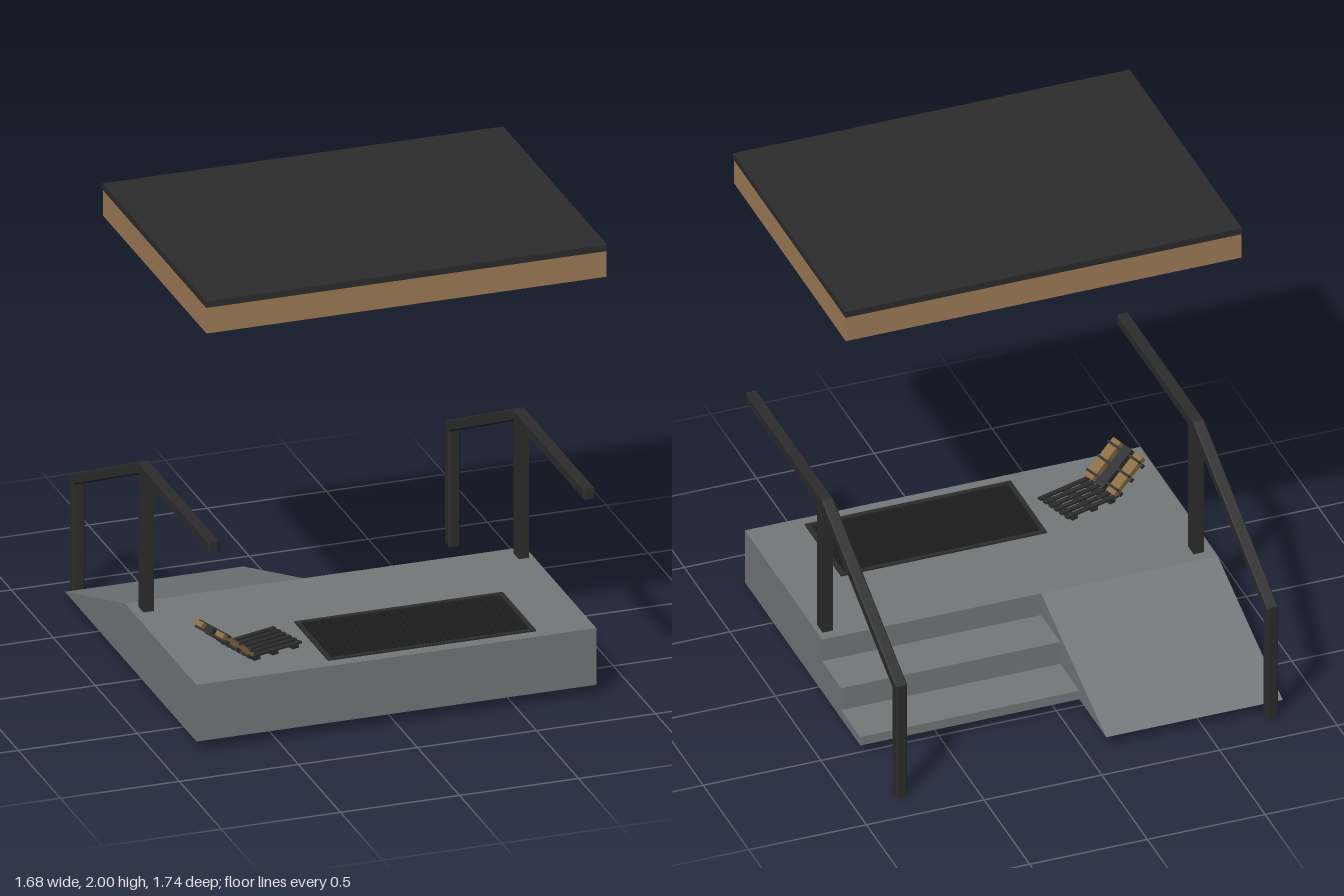
import * as THREE from 'three';

const mat = (color) => new THREE.MeshStandardMaterial({ color });
const concrete = mat(0x74787a), black = mat(0x2c2c2c), wood = mat(0xa07c58);
const slatWood = mat(0x8a6a40), rubber = mat(0x1c1c1c), lens = mat(0x707478);

function add(parent, name, geometry, material, x = 0, y = 0, z = 0) {
  const mesh = new THREE.Mesh(geometry, material);
  mesh.name = name;
  mesh.position.set(x, y, z);
  parent.add(mesh);
  return mesh;
}

// Box given by its extents on each axis
function block(parent, name, material, [x0, x1], [y0, y1], [z0, z1]) {
  return add(parent, name, new THREE.BoxGeometry(x1 - x0, y1 - y0, z1 - z0), material,
    (x0 + x1) / 2, (y0 + y1) / 2, (z0 + z1) / 2);
}

// Side profile of [distance towards the back, height] points, extruded from x0 to x1
function profile(parent, name, material, points, x0, x1, bevel = 0) {
  const shape = new THREE.Shape(points.map(([u, v]) => new THREE.Vector2(u, v)));
  const geometry = new THREE.ExtrudeGeometry(shape, {
    depth: x1 - x0 - 2 * bevel, bevelEnabled: bevel > 0, bevelSize: bevel,
    bevelThickness: bevel, bevelOffset: -bevel, bevelSegments: 1,
  });
  geometry.rotateY(Math.PI / 2);
  return add(parent, name, geometry, material, x0 + bevel, 0, 0);
}

function createRoof() {
  const roof = new THREE.Group();
  roof.name = 'roof';
  block(roof, 'roofBody', wood, [-0.84, 0.84], [1.86, 1.972], [-0.36, 0.87]);
  block(roof, 'roofCovering', black, [-0.842, 0.842], [1.972, 2], [-0.362, 0.872]);
  // Ceiling lamps: stepped housing with a recessed lens
  for (const x of [-0.525, 0.535]) {
    const housing = [[0.045, 0.012], [0.045, 0], [0.054, 0], [0.054, 0.012], [0.064, 0.016], [0.064, 0.05]]
      .map(([r, y]) => new THREE.Vector2(r, y));
    const shell = add(roof, 'lampHousing', new THREE.LatheGeometry(housing, 24),
      new THREE.MeshStandardMaterial({ color: 0x2c2c2c, side: THREE.DoubleSide, flatShading: true }), x, 1.812, 0.49);
    add(shell, 'lampLens', new THREE.CylinderGeometry(0.046, 0.046, 0.01, 24), lens, 0, 0.012, 0);
  }
  return roof;
}

function createBase() {
  const base = new THREE.Group();
  base.name = 'base';
  block(base, 'platform', concrete, [-0.84, 0.84], [0.045, 0.29], [-0.1, 0.75]);
  profile(base, 'ramp', concrete, [[0.1, 0.045], [0.815, 0.045], [0.1, 0.29]], -0.84, -0.09);
  profile(base, 'steps', concrete, [[0.1, 0.045], [0.52, 0.045], [0.52, 0.085], [0.31, 0.085],
    [0.31, 0.188], [0.1, 0.188]], -0.09, 0.84);
  return base;
}

// Handrail: level bar, sloping bar and end post in one piece, plus an upper post
function createHandrail(name, x, foot) {
  const rail = new THREE.Group();
  rail.name = name;
  const outline = [[-0.785, 0.868], [0.045, 0.868], [0.82, 0.5], [0.82, foot],
    [0.867, foot], [0.867, 0.528], [0.055, 0.916], [-0.785, 0.916]];
  profile(rail, 'railBar', black, outline, x - 0.024, x + 0.024, 0.005);
  block(rail, 'upperPost', black, [x - 0.022, x + 0.022], [0.285, 0.88], [-0.053, 0.007]);
  return rail;
}

function createDoormat() {
  const doormat = new THREE.Group();
  doormat.name = 'doormat';
  block(doormat, 'matBacking', rubber, [-0.25, 0.585], [0.288, 0.2915], [0.32, 0.68]);
  for (const z of [0.3, 0.68]) block(doormat, 'matLongBorder', black, [-0.27, 0.605], [0.288, 0.296], [z, z + 0.02]);
  for (const x of [-0.27, 0.585]) block(doormat, 'matShortBorder', black, [x, x + 0.02], [0.288, 0.296], [0.32, 0.68]);
  const ribs = 30;
  for (let i = 0; i < ribs; i++) {
    const x = -0.245 + (i * 0.825) / ribs;
    block(doormat, 'matRib', rubber, [x, x + 0.014], [0.29, 0.295], [0.325, 0.675]);
  }
  return doormat;
}

// Toppled bench: slatted panel on the ground and a raised plank panel hinged to it
function createToppledBench() {
  const bench = new THREE.Group();
  bench.name = 'toppledBench';
  bench.position.set(-0.47, 0.29, 0.475);
  bench.rotation.y = 0.3;

  const flat = new THREE.Group();
  flat.name = 'groundPanel';
  for (let i = 0; i < 6; i++) {
    const z = -0.095 + i * 0.034;
    block(flat, 'groundSlat', black, [-0.13, 0.13], [0.012, 0.02], [z, z + 0.02]);
  }
  for (const x of [-0.11, -0.02, 0.08]) block(flat, 'groundCrossbar', black, [x, x + 0.03], [0, 0.013], [-0.1, 0.1]);

  const raised = new THREE.Group();
  raised.name = 'raisedPanel';
  raised.position.set(-0.12, 0.012, 0);
  raised.rotation.z = -0.68;
  for (const [z, material] of [[-0.07, slatWood], [0, black], [0.07, slatWood]]) {
    block(raised, 'raisedPlank', material, [-0.19, 0], [0.004, 0.026], [z - 0.025, z + 0.025]);
  }
  for (const x of [-0.17, -0.1, -0.03]) {
    block(raised, 'raisedCrossbar', black, [x, x + 0.018], [-0.004, 0.008], [-0.105, 0.105]);
    block(raised, 'raisedClamp', black, [x, x + 0.01], [0.02, 0.032], [-0.1, 0.1]);
  }
  bench.add(flat, raised);
  return bench;
}

export function createModel() {
  const model = new THREE.Group();
  model.name = 'entrancePorch';
  model.add(
    createRoof(),
    createBase(),
    createHandrail('rightHandrail', -0.778, 0.01),
    createHandrail('leftHandrail', 0.798, 0),
    createDoormat(),
    createToppledBench(),
  );
  return model;
}
